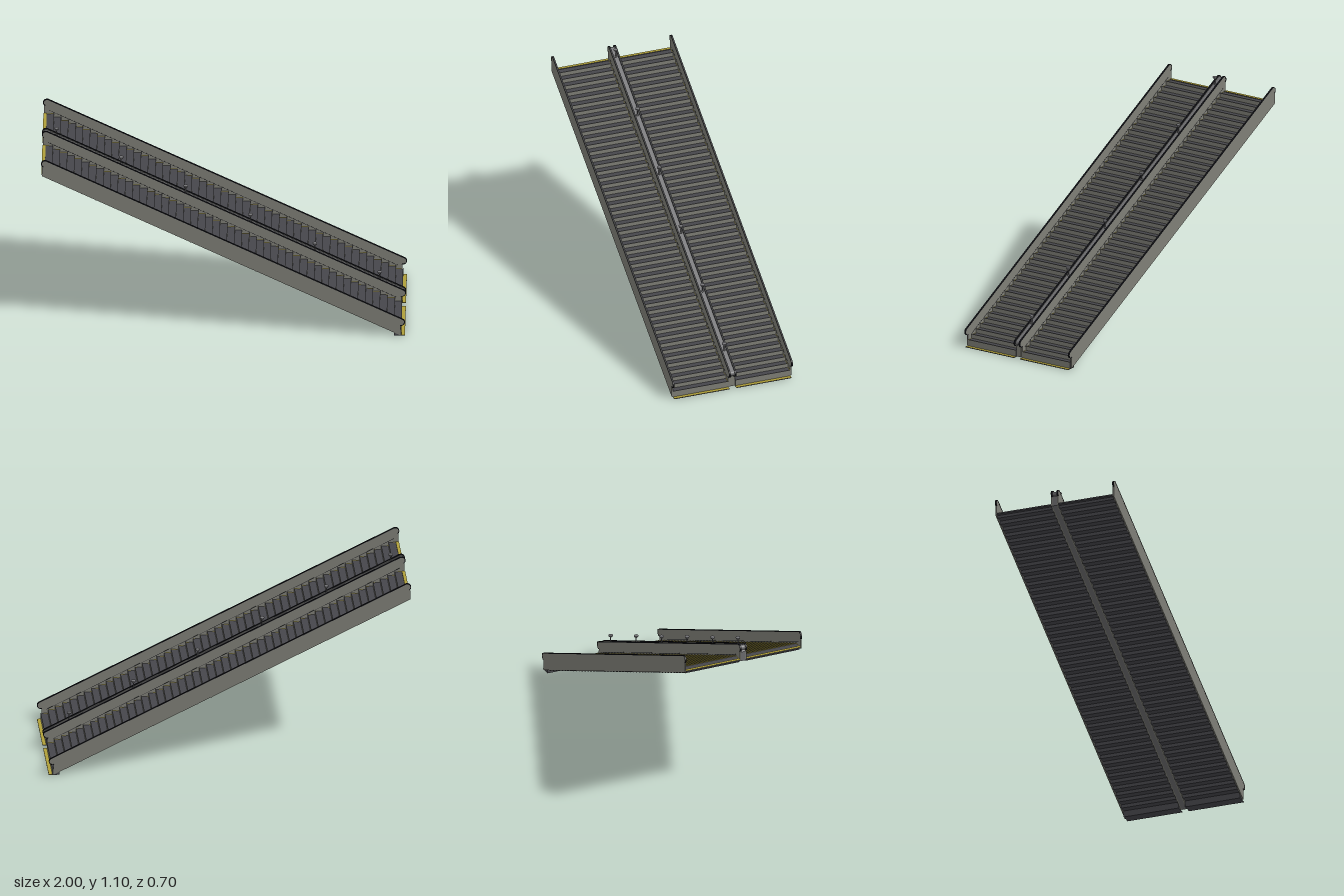
import * as THREE from 'three';

const mat = (name, color) => {
  const m = new THREE.MeshStandardMaterial({ color });
  m.name = name;
  return m;
};
const panelGrey = mat('panelGrey', 0x7e7e76);
const medianGrey = mat('medianGrey', 0x6c6c6e);
const treadGrey = mat('treadGrey', 0x46464b);
const railBlack = mat('railBlack', 0x15161b);
const safetyYellow = mat('safetyYellow', 0xb0a03a);
const lampGrey = mat('lampGrey', 0x737376);

// Slope of the whole run, and the centres of the rounded rail ends
const lineY = (x) => 0.6 - 0.5 * x;
const TILT = Math.atan(0.5);
const UP = Math.PI / 2 - TILT;
const TOP = [-0.978, 1.0644];
const LOW = [0.978, 0.0864];

const mesh = (name, geometry, material) => {
  const m = new THREE.Mesh(geometry, material);
  m.name = name;
  return m;
};

const slab = (name, shape, z0, z1, material) => {
  const g = new THREE.ExtrudeGeometry(shape, { depth: z1 - z0, bevelEnabled: false, curveSegments: 14 });
  g.translate(0, 0, z0);
  return mesh(name, g, material);
};

const box = (name, x0, x1, y0, y1, z0, z1, material) => {
  const g = new THREE.BoxGeometry(x1 - x0, y1 - y0, z1 - z0);
  g.translate((x0 + x1) / 2, (y0 + y1) / 2, (z0 + z1) / 2);
  return mesh(name, g, material);
};

// Sloping side wall outline with rounded ends of radius r
function wallShape(r) {
  const s = new THREE.Shape();
  s.moveTo(-0.995, 0.989);
  s.lineTo(0.975, 0.004);
  s.absarc(...LOW, r, -1.75, UP, false);
  s.absarc(...TOP, r, UP, 4.2, false);
  s.lineTo(-0.995, 1.045);
  s.closePath();
  return s;
}

// Handrail band that curls under at both ends
function railShape(outer, inner) {
  const s = new THREE.Shape();
  s.absarc(...LOW, outer, -1.9, UP, false);
  s.absarc(...TOP, outer, UP, 4.1, false);
  s.absarc(...TOP, inner, 4.1, UP, true);
  s.absarc(...LOW, inner, UP, -1.9, true);
  return s;
}

// One wall with its handrail; inner is the side (+1/-1 in z) facing the steps
function balustrade(z0, z1, inner) {
  const g = new THREE.Group();
  g.name = 'balustrade';
  g.add(slab('wall', wallShape(0.018), z0, z1, panelGrey));
  g.add(slab('handrail', railShape(0.022, 0.0178), z0 - 0.001, z1 + 0.001, railBlack));
  // thin dark seam above the steps
  const seam = mesh('skirtSeam', new THREE.BoxGeometry(2.14, 0.002, 0.001), railBlack);
  seam.position.set(-0.01, lineY(-0.01) - 0.066, inner > 0 ? z1 : z0);
  seam.rotation.z = -TILT;
  g.add(seam);
  return g;
}

// A flight of steps between z0 and z1
function flight(z0, z1) {
  const g = new THREE.Group();
  g.name = 'flight';
  const run = 0.04, rise = 0.02, edge = 0.002, lip = 0.004, count = 49;
  // box faces: +x, -x, +y, -y, +z, -z
  const stepFaces = [panelGrey, treadGrey, treadGrey, treadGrey, treadGrey, treadGrey];
  const lipFaces = [panelGrey, safetyYellow, treadGrey, treadGrey, treadGrey, treadGrey];
  const topFaces = [treadGrey, treadGrey, safetyYellow, treadGrey, treadGrey, treadGrey];
  for (let i = 0; i < count; i++) {
    const x0 = -0.98 + run * i, x1 = x0 + run, y = 1 - rise * i, tread = y - lip;
    const bottom = i === count - 1 ? 0 : y - rise - lip;
    g.add(box('step', x0, x1, bottom, tread, z0, z1, stepFaces));
    // raised nose, yellow on its rear face
    g.add(box('noseLip', x1 - edge, x1, tread, y, z0, z1, lipFaces));
    for (const z of [z0, z1 - edge])
      g.add(box('sideStripe', x0, x1 - edge, tread, tread + 0.0006, z, z + edge, safetyYellow));
  }
  // landing plates at each end
  g.add(box('topPlate', -0.998, -0.98, 0.992, 1.0, z0, z1, topFaces));
  g.add(box('bottomPlate', 0.978, 1, 0, 0.004, z0, z1, topFaces));
  return g;
}

export function createModel() {
  const model = new THREE.Group();
  model.name = 'twinEscalator';

  model.add(balustrade(0.342, 0.349, -1), balustrade(-0.349, -0.342, 1));
  model.add(balustrade(0.013, 0.02, 1), balustrade(-0.02, -0.013, -1));
  model.add(flight(0.02, 0.342), flight(-0.342, -0.02));

  // infill between the two middle walls, with a lighter end cap
  model.add(slab('median', wallShape(0.014), -0.013, 0.013, medianGrey));
  model.add(box('medianEndCap', 0.974, 0.977, 0.004, 0.066, -0.013, 0.013, panelGrey));

  // goblet lamps along the median
  const profile = [[0, -0.01], [0.006, -0.01], [0.006, -0.004], [0.003, 0.002], [0.003, 0.021],
    [0.006, 0.025], [0.0105, 0.029], [0.0125, 0.034], [0.0125, 0.038], [0, 0.038]].map((p) => new THREE.Vector2(...p));
  const lampGeometry = new THREE.LatheGeometry(profile, 12);
  for (let i = 0; i < 6; i++) {
    const x = -0.92 + 0.355 * i;
    const lamp = mesh('lamp', lampGeometry, lampGrey);
    lamp.position.set(x, lineY(x), 0);
    model.add(lamp);
  }
  return model;
}
